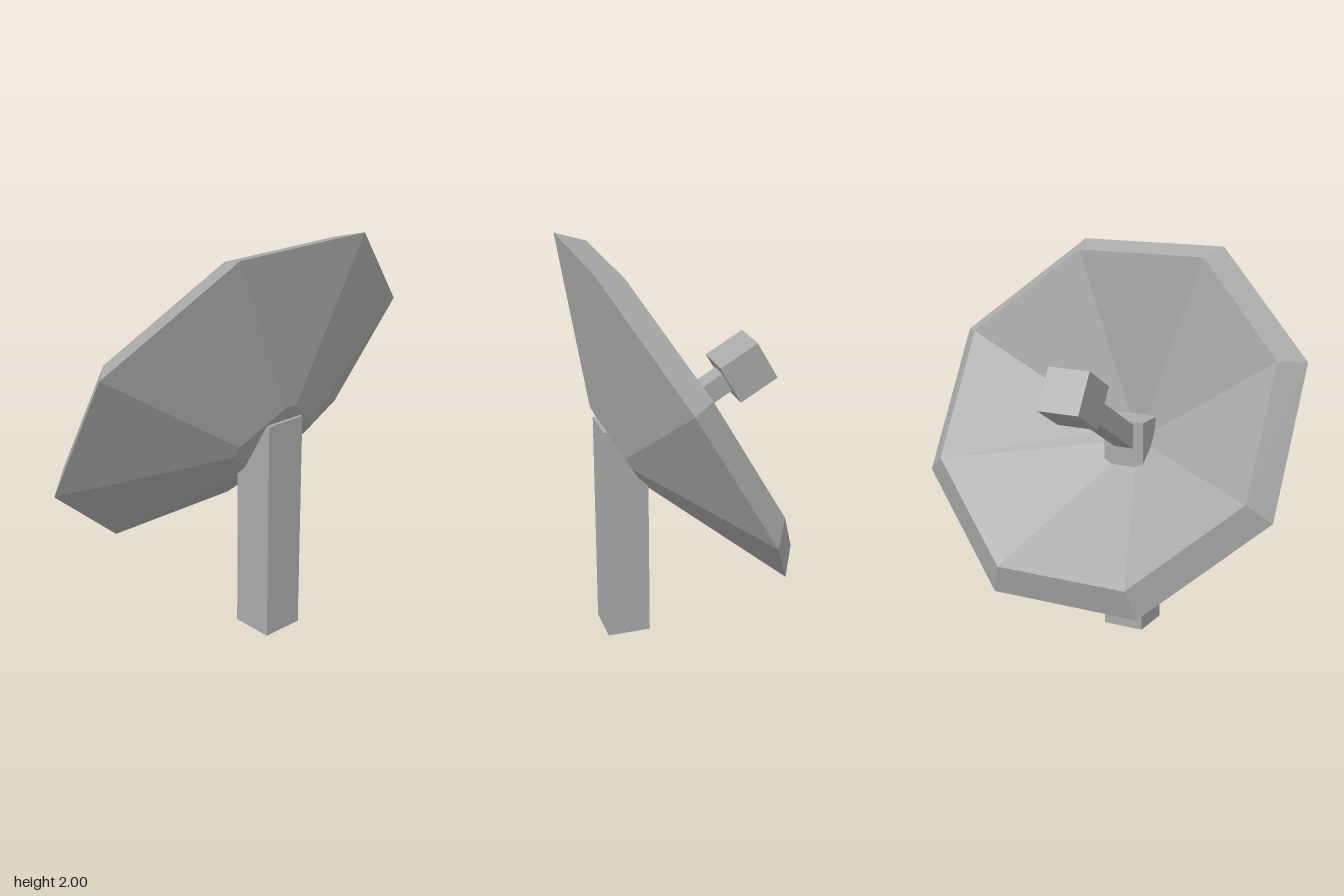
import * as THREE from 'three';

// Eight corners of a bevelled square: a = distance to the flats, h = half flat width
function ring(a, h, z) {
  return [[a, -h], [a, h], [h, a], [-h, a], [-a, h], [-a, -h], [-h, -a], [h, -a]]
    .map(([x, y]) => [x, y, z]);
}

// Flat-faced skin through successive rings; a ring of size 0 closes to a point
function loft(rings) {
  const pos = [];
  for (let r = 0; r < rings.length - 1; r++) {
    const a = rings[r], b = rings[r + 1];
    for (let i = 0; i < 8; i++) {
      const j = (i + 1) % 8;
      if (b[0][0] > 0) pos.push(...a[i], ...b[i], ...b[j]);
      if (a[0][0] > 0) pos.push(...a[i], ...b[j], ...a[j]);
    }
  }
  const geo = new THREE.BufferGeometry();
  geo.setAttribute('position', new THREE.Float32BufferAttribute(pos, 3));
  geo.computeVertexNormals();
  return geo;
}

export function createModel() {
  const metal = new THREE.MeshStandardMaterial({ color: 0xaaaaaa, flatShading: true });
  metal.name = 'grey metal';

  const add = (parent, name, geo, x = 0, y = 0, z = 0) => {
    const mesh = new THREE.Mesh(geo, metal);
    mesh.name = name;
    mesh.position.set(x, y, z);
    parent.add(mesh);
    return mesh;
  };

  const model = new THREE.Group();
  model.name = 'satelliteDish';

  // Square post, its top reaching through the bowl
  add(model, 'post', new THREE.BoxGeometry(0.22, 1.13, 0.22), 0, 0.565, 0.29);

  // Tilted head: local -z is the direction the dish looks
  const head = new THREE.Group();
  head.name = 'dishHead';
  head.position.set(0, 1.175, 0.025);
  head.rotation.x = Math.PI / 6;
  model.add(head);

  const hub = ring(0.237, 0.035, 0.332);
  const outerRim = ring(0.952, 0.394, 0);
  const innerRim = ring(0.842, 0.349, -0.11);
  const floor = ring(0.09, 0.037, 0.32);
  add(head, 'dishBack', loft([ring(0, 0, 0.332), hub, outerRim]));
  add(head, 'dishRim', loft([outerRim, innerRim]));
  add(head, 'dishBowl', loft([innerRim, floor, ring(0, 0, 0.32)]));

  // Receiver on its arm
  add(head, 'receiverArm', new THREE.BoxGeometry(0.107, 0.107, 0.6), 0, -0.03, -0.05);
  add(head, 'receiver', new THREE.BoxGeometry(0.22, 0.22, 0.22), 0, -0.027, -0.406);

  return model;
}
